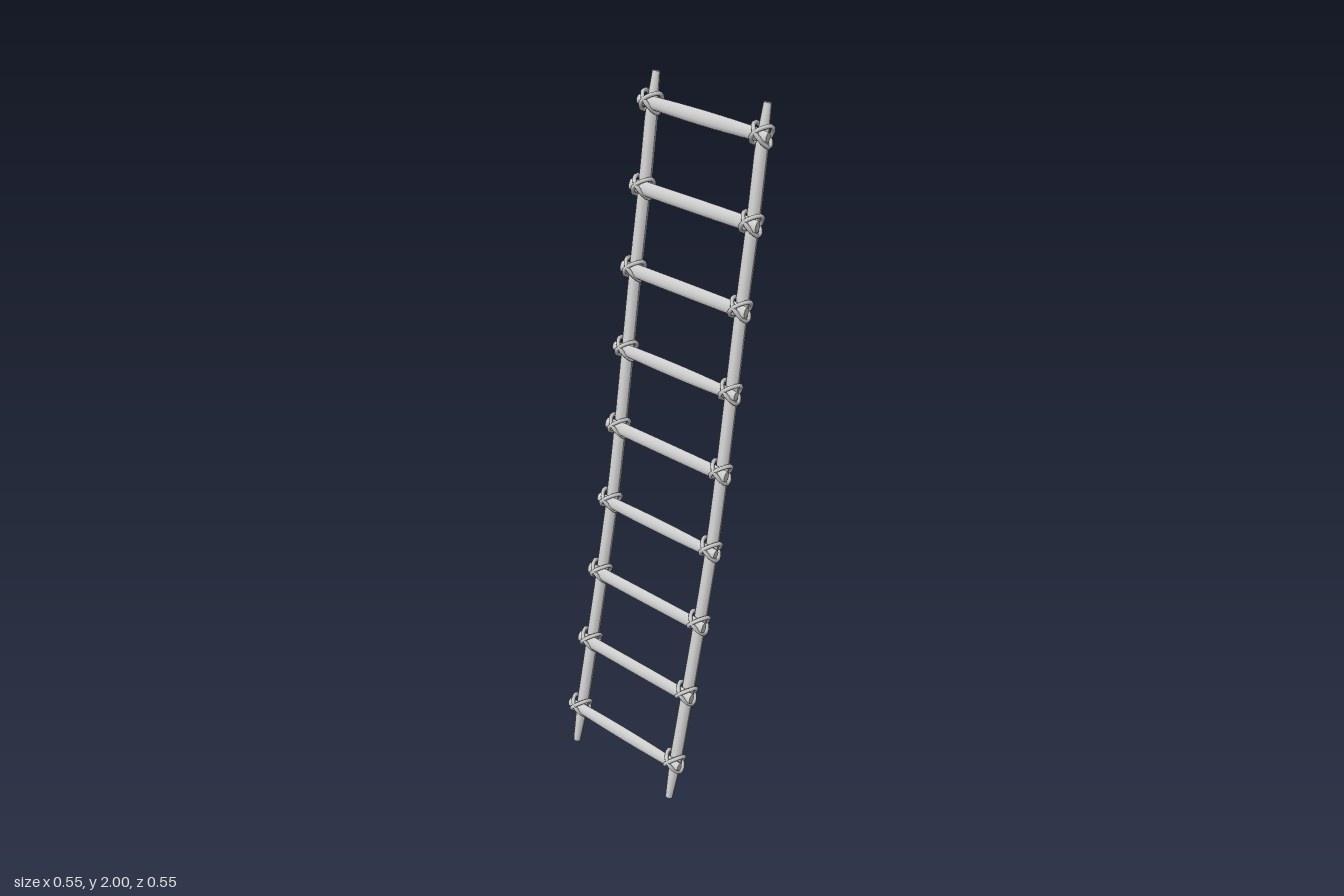
import * as THREE from 'three';

const mat = new THREE.MeshStandardMaterial({ color: 0xcccccc });

// Leaning frame: U runs up the ladder, N points out of its climbing face
const U = new THREE.Vector3(0.256, 0.967, 0).normalize();
const N = new THREE.Vector3(-U.y, U.x, 0);
const Z = new THREE.Vector3(0, 0, 1);
const LASH_AXIS = N.clone().applyAxisAngle(Z, -0.2);
const HALF_WIDTH = 0.19;

// Gentle sideways bow of the ladder's centre line, from foot to top
const bow = new THREE.CatmullRomCurve3([
  [0, 0.058], [0.13, 0.056], [0.35, 0.051], [0.58, 0.045], [0.81, 0.036], [1.02, 0.021],
  [1.24, 0.002], [1.47, -0.018], [1.7, -0.035], [1.92, -0.055], [2, -0.06],
].map(([y, z]) => new THREE.Vector3(-0.262 + 0.262 * y, y, z)));

function centreAt(y) {
  let lo = 0, hi = 1;
  for (let i = 0; i < 24; i++) {
    const mid = (lo + hi) / 2;
    if (bow.getPoint(mid).y < y) lo = mid; else hi = mid;
  }
  return bow.getPoint(lo);
}

// Pole: a cylinder whose rings are moved by place(t, a, b), t from 0 to 1
function pole(name, sides, rings, place) {
  const geo = new THREE.CylinderGeometry(1, 1, 1, sides, rings);
  const pos = geo.attributes.position;
  for (let i = 0; i < pos.count; i++) {
    const p = place(pos.getY(i) + 0.5, pos.getX(i), pos.getZ(i));
    pos.setXYZ(i, p.x, p.y, p.z);
  }
  geo.computeVertexNormals();
  const mesh = new THREE.Mesh(geo, mat);
  mesh.name = name;
  return mesh;
}

// Side rail, whittled to a blunt point at both ends
function rail(name, side) {
  return pole(name, 10, 32, (t, a, b) => {
    const y = 0.003 + 1.994 * t;
    const taper = Math.min(1, Math.min(y, 2 - y) / 0.125);
    const r = 0.011 + 0.0075 * taper;
    return centreAt(y).addScaledVector(Z, side * HALF_WIDTH + b * r).addScaledVector(N, -a * r);
  });
}

// Rung, oval in section and lying on the climbing face of the rails
function rung(y, swell) {
  const c = centreAt(y).addScaledVector(N, 0.022);
  return pole('rung', 10, 10, (t, a, b) => {
    const s = 2 * t - 1;
    const end = Math.abs(s) > 0.9 ? 0.82 : 1;
    const ru = (0.021 - swell * s * s) * end;
    return c.clone().addScaledVector(Z, s * 0.222)
      .addScaledVector(N, a * 0.0125 * end).addScaledVector(U, b * ru);
  });
}

// Rope lashing: two tilted pointed loops crossing in an X around rail and rung
function lashing(y, side) {
  const group = new THREE.Group();
  group.name = 'ropeLashing';
  const c = centreAt(y).addScaledVector(Z, side * HALF_WIDTH).addScaledVector(N, 0.006);
  for (const tilt of [-1, 1]) {
    const points = [];
    for (let i = 0; i < 12; i++) {
      const a = (i / 12) * Math.PI * 2;
      const across = Math.sin(a) * (1 - 0.2 * Math.abs(Math.cos(a)));
      points.push(c.clone().addScaledVector(LASH_AXIS, 0.036 * Math.cos(a))
        .addScaledVector(Z, 0.025 * across)
        .addScaledVector(U, tilt * 0.027 * across));
    }
    const loop = new THREE.CatmullRomCurve3(points, true);
    const mesh = new THREE.Mesh(new THREE.TubeGeometry(loop, 18, 0.0065, 6, true), mat);
    mesh.name = 'ropeLoop';
    group.add(mesh);
  }
  return group;
}

export function createModel() {
  const ladder = new THREE.Group();
  ladder.name = 'ladder';
  ladder.add(rail('leftRail', 1), rail('rightRail', -1));
  for (let i = 0; i < 9; i++) {
    const y = 0.127 + i * 0.2237;
    ladder.add(rung(y, [0, 3, 5, 8].includes(i) ? 0.005 : 0.001));
    for (const side of [-1, 1]) ladder.add(lashing(y, side));
  }
  return ladder;
}
